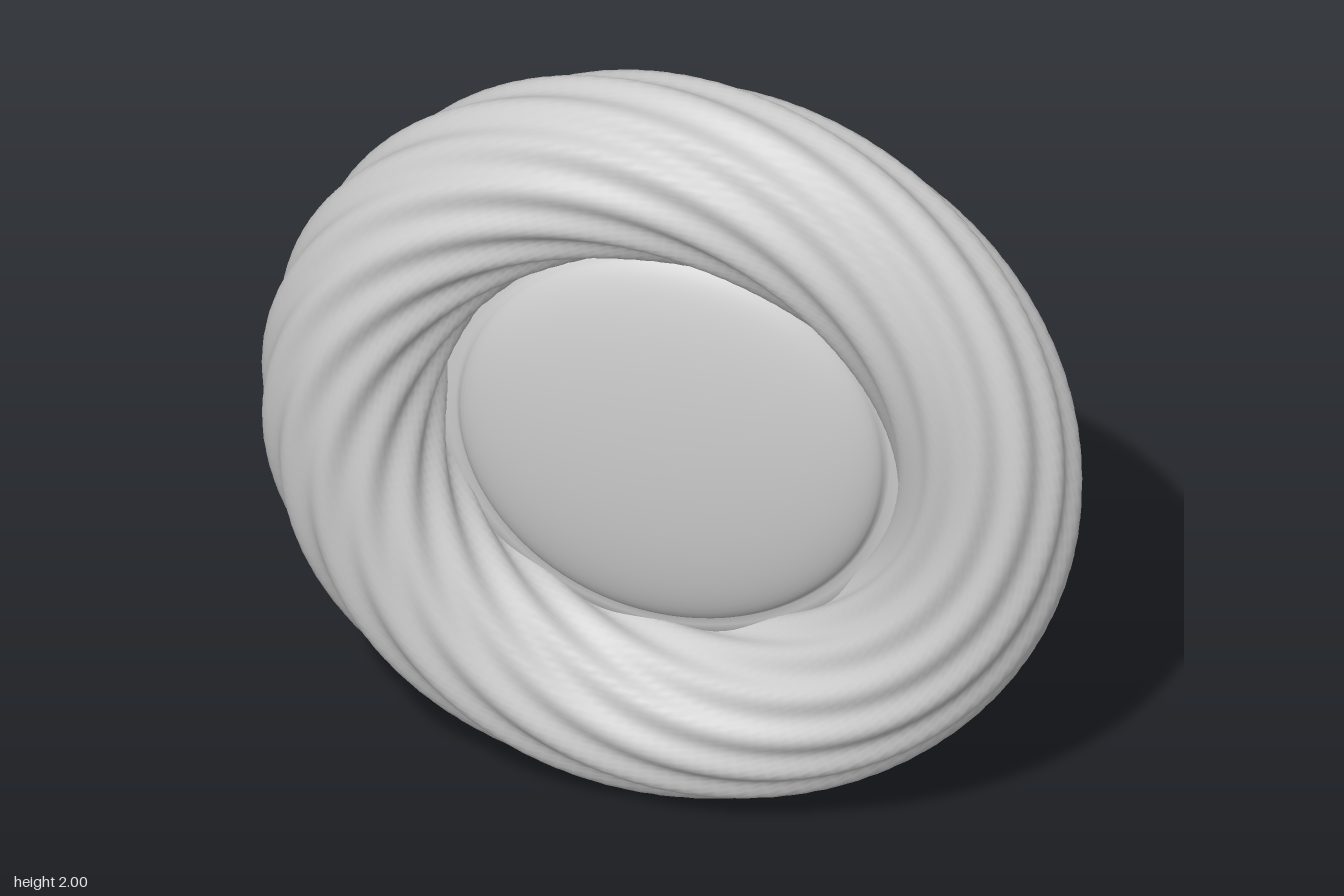
import * as THREE from 'three';
import { mergeVertices } from 'three/addons/utils/BufferGeometryUtils.js';

const RING = 0.775, TUBE = 0.214, RIDGE = 0.011, STRANDS = 12;

// Torus whose tube is fluted, the flutes making one full turn around the ring
function twistedRing() {
  let geo = new THREE.TorusGeometry(RING, TUBE, 96, 144);
  geo.deleteAttribute('uv');
  geo.deleteAttribute('normal');
  geo = mergeVertices(geo, 1e-5);
  const pos = geo.attributes.position;
  for (let i = 0; i < pos.count; i++) {
    const x = pos.getX(i), y = pos.getY(i), z = pos.getZ(i);
    const around = Math.atan2(y, x);
    const tube = Math.atan2(z, Math.hypot(x, y) - RING);
    const r = TUBE + RIDGE * Math.cos(STRANDS * (around + tube));
    const d = RING + r * Math.cos(tube);
    pos.setXYZ(i, d * Math.cos(around), d * Math.sin(around), r * Math.sin(tube));
  }
  geo.computeVertexNormals();
  return geo;
}

// Disc with a flat back, rounded rim and a shallow dome on the front
function domedDisc() {
  const profile = [[0, -0.08], [0.3, -0.08], [0.55, -0.08], [0.562, -0.078], [0.578, -0.068],
    [0.585, -0.05], [0.585, -0.03], [0.575, -0.015], [0.55, -0.01], [0.53, -0.008]]
    .map(([r, z]) => new THREE.Vector2(r, z));
  for (let i = 0; i <= 16; i++) {
    const a = (i / 16) * Math.PI / 2;
    profile.push(new THREE.Vector2(i === 16 ? 0 : 0.52 * Math.cos(a), 0.11 * Math.sin(a)));
  }
  return new THREE.LatheGeometry(profile, 96).rotateX(Math.PI / 2);
}

export function createModel() {
  const group = new THREE.Group();
  group.name = 'twistedRingMedallion';
  const material = new THREE.MeshStandardMaterial({ color: 0xcccccc });
  const parts = { twistedRing: twistedRing(), domedDisc: domedDisc() };
  for (const [name, geometry] of Object.entries(parts)) {
    const mesh = new THREE.Mesh(geometry, material);
    mesh.name = name;
    mesh.position.y = 1;
    group.add(mesh);
  }
  return group;
}
